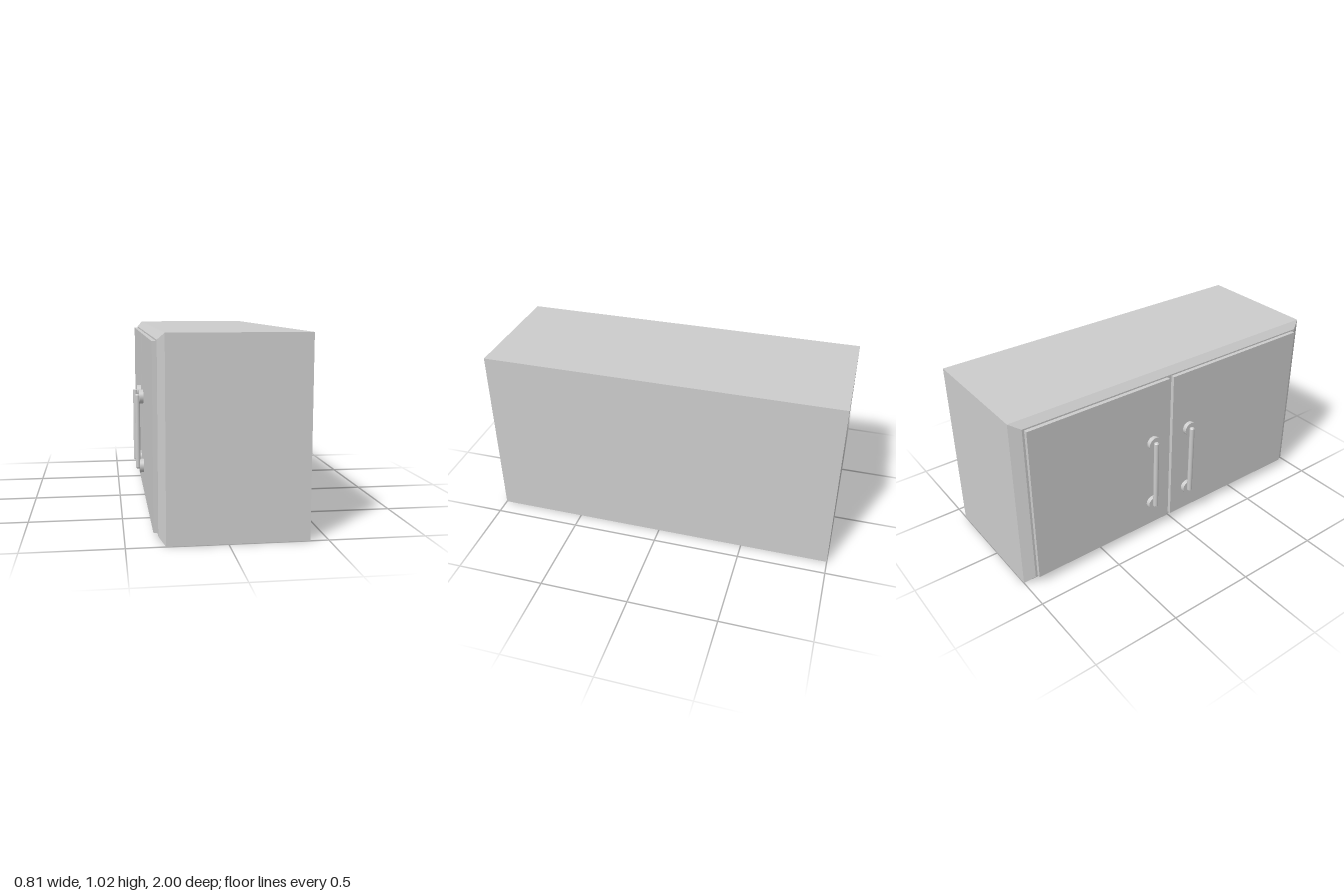
import * as THREE from 'three';

const grey = new THREE.MeshStandardMaterial({ color: 0xcccccc });
const flat = new THREE.MeshStandardMaterial({ color: 0xcccccc, flatShading: true });

const H = 1.023, BACK = 0.406, SHOULDER = -0.305, FACE = -0.338;

function add(parent, name, geometry, material, x, y, z) {
  const mesh = new THREE.Mesh(geometry, material);
  mesh.name = name;
  mesh.position.set(x, y, z);
  parent.add(mesh);
  return mesh;
}

// Box whose door side (-x) tapers in to a chamfered face
function cabinetGeometry() {
  const g = new THREE.BoxGeometry(2, H, 2, 2, 1, 1);
  const p = g.attributes.position;
  for (let i = 0; i < p.count; i++) {
    const x = p.getX(i);
    if (x > 0.5) p.setX(i, BACK);
    else if (x > -0.5) p.setX(i, SHOULDER);
    else {
      p.setXYZ(i, FACE,
        p.getY(i) - Math.sign(p.getY(i)) * 0.035,
        p.getZ(i) - Math.sign(p.getZ(i)) * 0.058);
    }
  }
  const out = g.toNonIndexed();
  out.computeVertexNormals();
  return out;
}

// Vertical bar with softened ends, standing on two round bases
function handle(z) {
  const group = new THREE.Group();
  group.name = 'handle';
  const r = 0.0145, h = 0.221, b = 0.006;
  const profile = [[0, -h], [r - b, -h], [r - b, -h], [r, -h + b], [r, -h + b],
    [r, h - b], [r, h - b], [r - b, h], [r - b, h], [0, h]]
    .map(([x, y]) => new THREE.Vector2(x, y));
  add(group, 'handleBar', new THREE.LatheGeometry(profile, 24), grey, -0.393, 0.409, z);
  for (const y of [0.203, 0.615]) {
    const base = add(group, 'handleBase', new THREE.CylinderGeometry(0.04, 0.04, 0.026, 32), grey, -0.371, y, z);
    base.rotation.z = Math.PI / 2;
  }
  return group;
}

export function createModel() {
  const model = new THREE.Group();
  model.name = 'wallCabinet';

  add(model, 'cabinetBody', cabinetGeometry(), flat, 0, H / 2, 0);

  // Two doors with a narrow gap between them
  for (const [z0, z1] of [[-0.93, -0.046], [-0.018, 0.922]]) {
    add(model, 'door', new THREE.BoxGeometry(0.024, 0.934, z1 - z0), flat, -0.348, 0.513, (z0 + z1) / 2);
  }

  for (const z of [-0.157, 0.101]) model.add(handle(z));
  return model;
}
